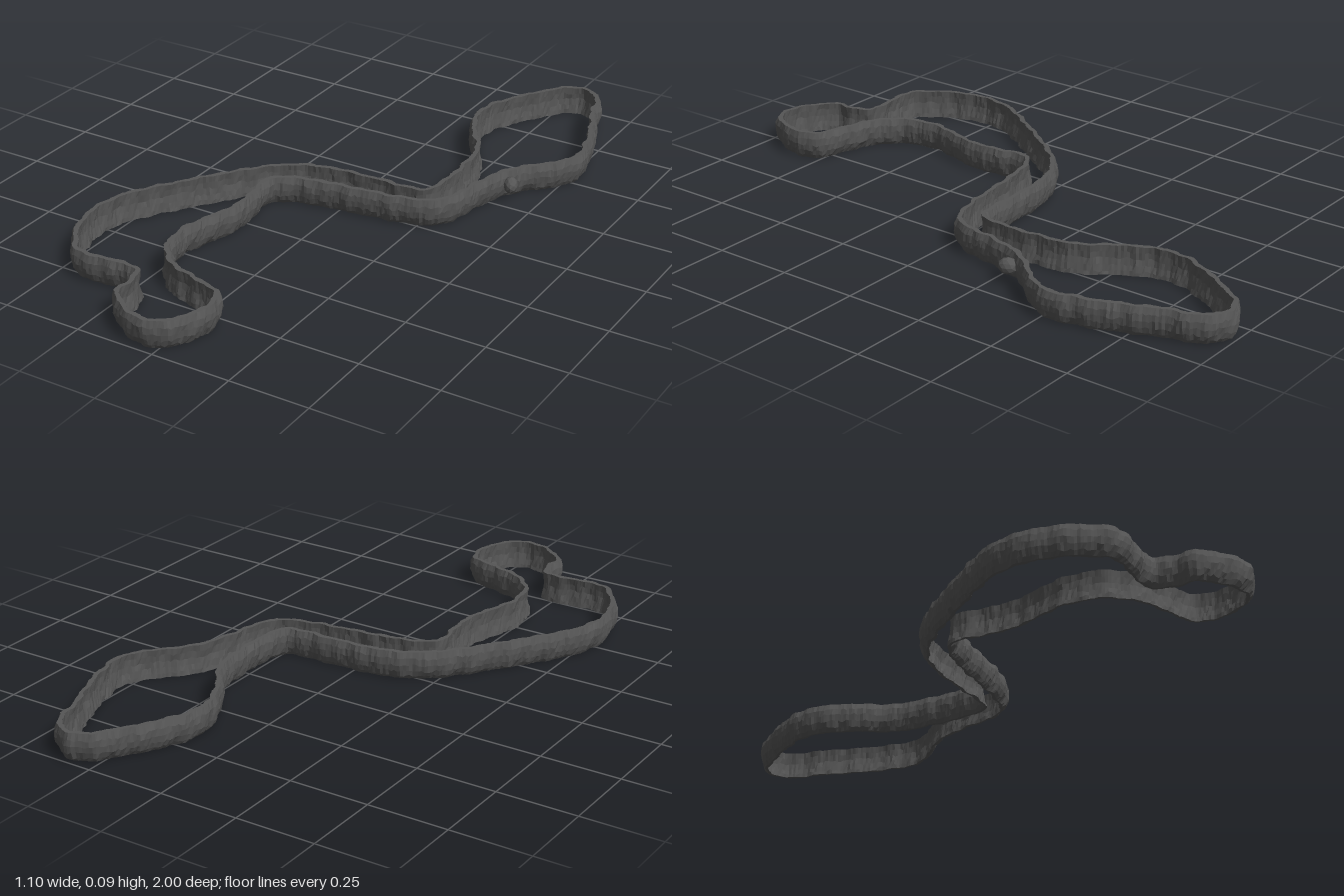
import * as THREE from 'three';

const HEIGHT = 0.09;

// Plan of the wall (x, z), clockwise seen from above
const PLAN = [
  .325, -.985, .40, -.945, .43, -.85, .475, -.74, .51, -.645, .53, -.51, .48, -.425, .405, -.34,
  .365, -.245, .34, -.13, .32, -.055, .265, -.01, .135, .02, -.025, .04, -.14, .065, -.20, .10,
  -.205, .15, -.19, .25, -.20, .355, -.23, .45, -.24, .53, -.215, .625, -.145, .69, -.065, .72,
  .01, .74, .065, .78, .065, .86, .03, .94, -.035, .98, -.12, .955, -.19, .895, -.195, .82,
  -.215, .77, -.315, .765, -.415, .77, -.485, .705, -.525, .62, -.54, .515, -.515, .415, -.445, .30,
  -.35, .165, -.26, .05, -.18, -.015, -.075, -.05, .08, -.06, .235, -.07, .25, -.10, .26, -.18,
  .255, -.315, .24, -.405, .175, -.505, .13, -.595, .12, -.685, .16, -.79, .225, -.895, .28, -.965,
];

// Wall section (outward offset, height): bulging outer face, steeper inner face
const SECTION = [
  [-.005, 0], [.004, .012], [.011, .03], [.014, .05], [.013, .07], [.006, HEIGHT],
  [-.008, HEIGHT], [-.006, .07], [-.005, .05], [-.008, .03], [-.012, .012], [-.014, 0],
];

function seededRandom(seed) {
  return () => {
    seed = (seed * 16807) % 2147483647;
    return seed / 2147483647;
  };
}

function buildWall(steps) {
  const points = [];
  for (let i = 0; i < PLAN.length; i += 2) points.push(new THREE.Vector3(PLAN[i], 0, PLAN[i + 1]));
  const path = new THREE.CatmullRomCurve3(points, true, 'centripetal');
  path.arcLengthDivisions = 1000;

  const random = seededRandom(17);
  const position = [];
  const index = [];
  const rows = SECTION.length;
  for (let i = 0; i < steps; i++) {
    const u = i / steps;
    const p = path.getPointAt(u);
    const t = path.getTangentAt(u);
    const a = u * Math.PI * 2;
    // Slow waves shared by the section, plus fine roughness per vertex
    const wave = .002 * Math.sin(47 * a) + .002 * Math.sin(83 * a + 1);
    SECTION.forEach(([offset, y], j) => {
      const d = offset + wave + .0015 * Math.sin(61 * a + j) + (random() - .5) * .004;
      const edge = y === 0 || y === HEIGHT;
      const h = edge ? y : y + (random() - .5) * .008;
      position.push(p.x + t.z * d, h, p.z - t.x * d);
      const i2 = (i + 1) % steps;
      const j2 = (j + 1) % rows;
      const [A, B, C, D] = [i * rows + j, i * rows + j2, i2 * rows + j2, i2 * rows + j];
      index.push(A, B, D, B, C, D);
    });
  }
  const geometry = new THREE.BufferGeometry();
  geometry.setAttribute('position', new THREE.Float32BufferAttribute(position, 3));
  geometry.setIndex(index);
  geometry.computeVertexNormals();
  return geometry;
}

export function createModel() {
  const model = new THREE.Group();
  model.name = 'rockWallLoop';
  const rock = new THREE.MeshStandardMaterial({ color: 0x555555, flatShading: true });

  // Winding rock wall
  const wall = new THREE.Mesh(buildWall(640), rock);
  wall.name = 'rockWall';
  model.add(wall);

  // Small outcrop on the outer side of the neck
  const outcrop = new THREE.Mesh(new THREE.IcosahedronGeometry(1, 1), rock);
  outcrop.name = 'outcrop';
  outcrop.scale.set(.022, .026, .03);
  outcrop.position.set(.413, .052, -.298);
  outcrop.rotation.y = .4;
  model.add(outcrop);

  return model;
}
